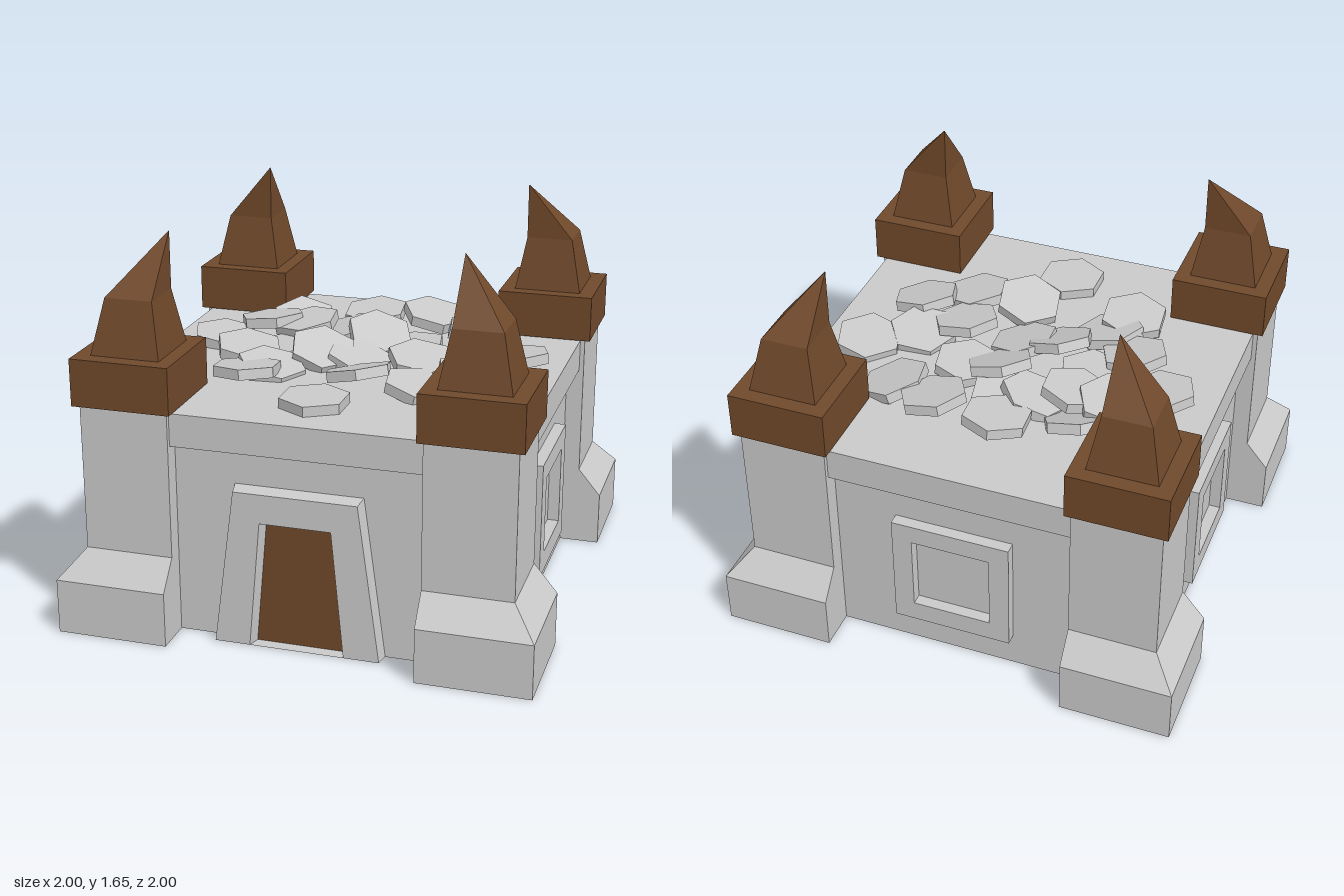
import * as THREE from 'three';

const stone = new THREE.MeshStandardMaterial({ name: 'paleStone', color: 0xcacaca, side: THREE.DoubleSide });
const timber = new THREE.MeshStandardMaterial({ name: 'brownTimber', color: 0x70492b });

// Joins four-cornered loops into a faceted skin, optionally closing the last loop
function loft(loops, capEnd = true) {
  const pos = [];
  const quad = (a, b, c, d) => pos.push(...a, ...b, ...c, ...a, ...c, ...d);
  for (let i = 0; i < loops.length - 1; i++) {
    const p = loops[i], q = loops[i + 1];
    for (let k = 0; k < 4; k++) {
      const n = (k + 1) % 4;
      quad(p[k], p[n], q[n], q[k]);
    }
  }
  if (capEnd) quad(...loops[loops.length - 1]);
  const g = new THREE.BufferGeometry();
  g.setAttribute('position', new THREE.Float32BufferAttribute(pos, 3));
  g.computeVertexNormals();
  return g;
}

// Horizontal rectangle at height y
const rect = (x0, x1, z0, z1, y) => [[x0, y, z1], [x1, y, z1], [x1, y, z0], [x0, y, z0]];

// Square loop in one corner, from inner to outer distance
function cornerRect(sx, sz, inner, outer, y) {
  const [x0, x1] = sx > 0 ? [inner, outer] : [-outer, -inner];
  const [z0, z1] = sz > 0 ? [inner, outer] : [-outer, -inner];
  return rect(x0, x1, z0, z1, y);
}

// Upright trapezoid standing on the ground
const trapezoid = (bottom, top, h, z) => [[-bottom, 0, z], [bottom, 0, z], [top, h, z], [-top, h, z]];

function add(parent, name, geometry, material) {
  const m = new THREE.Mesh(geometry, material);
  m.name = name;
  parent.add(m);
  return m;
}

function cornerTower(sx, sz) {
  const tower = new THREE.Group();
  tower.name = 'cornerTower';
  const stack = (steps) => loft(steps.map(([a, b, y]) => cornerRect(sx, sz, a, b, y)));
  add(tower, 'towerShaft', stack([[0.525, 1, 0], [0.525, 1, 0.235], [0.525, 0.9, 0.355], [0.525, 0.9, 0.98]]), stone);
  const cap = add(tower, 'towerCap', new THREE.BoxGeometry(0.42, 0.2, 0.42), timber);
  cap.position.set(sx * 0.715, 1.08, sz * 0.715);
  add(tower, 'towerHorn', stack([[0.567, 0.86, 1.18], [0.608, 0.81, 1.41], [0.608, 0.609, 1.65]]), timber);
  return tower;
}

// Square raised frame around a blind window
function windowFrame() {
  const s = new THREE.Shape();
  s.moveTo(-0.257, 0.155).lineTo(0.257, 0.155).lineTo(0.257, 0.67).lineTo(-0.257, 0.67).closePath();
  const hole = new THREE.Path();
  hole.moveTo(-0.17, 0.245).lineTo(-0.17, 0.585).lineTo(0.17, 0.585).lineTo(0.17, 0.245).closePath();
  s.holes.push(hole);
  return new THREE.ExtrudeGeometry(s, { depth: 0.05, bevelEnabled: false });
}

export function createModel() {
  const model = new THREE.Group();
  model.name = 'fort';

  // Walls with an overhanging top band, open underneath
  add(model, 'walls', loft([
    rect(-0.825, 0.825, -0.825, 0.825, 0),
    rect(-0.825, 0.825, -0.825, 0.825, 0.835),
    rect(-0.88, 0.88, -0.88, 0.88, 0.835),
    rect(-0.88, 0.88, -0.88, 0.88, 0.975),
  ]), stone);

  for (const sx of [-1, 1]) for (const sz of [-1, 1]) model.add(cornerTower(sx, sz));

  // Blind windows on the right, back and left walls
  for (let i = 1; i <= 3; i++) {
    const side = new THREE.Group();
    side.name = 'windowSide';
    side.rotation.y = i * Math.PI / 2;
    add(side, 'windowFrame', windowFrame(), stone).position.z = 0.825;
    model.add(side);
  }

  // Doorway: tapering surround and recessed door
  add(model, 'doorFrame', loft([
    trapezoid(0.36, 0.27, 0.685, 0.825),
    trapezoid(0.35, 0.26, 0.672, 0.885),
    trapezoid(0.2, 0.15, 0.547, 0.885),
    trapezoid(0.185, 0.138, 0.525, 0.83),
  ], false), stone);
  add(model, 'door', loft([trapezoid(0.19, 0.143, 0.53, 0.826), trapezoid(0.19, 0.143, 0.53, 0.831)]), timber);

  // Loose six-sided slabs on the roof: x, z, height, lean to x, lean to z, spin
  const slabs = [
    [-0.065, -0.5, 1.03, -0.05, 0.12, 0.1], [0.22, -0.48, 1.05, 0.2, 0.1, 0.5],
    [0.44, -0.38, 1.0, 0.3, 0, 0.2], [0.67, -0.14, 1.0, -0.1, -0.08, 0.3],
    [-0.64, -0.07, 1.0, 0.1, 0.05, 0.35], [-0.37, -0.38, 1.0, 0.2, 0.4, 0.4],
    [-0.48, -0.25, 1.04, -0.12, -0.1, 0.45], [-0.31, -0.23, 1.04, -0.15, 0.1, 0.1],
    [-0.15, -0.28, 1.0, -0.3, 0.1, 0.7], [0.05, -0.16, 1.04, 0.25, 0.3, 0.4],
    [0.2, -0.16, 1.0, -0.1, 0, 0.2], [0.47, -0.01, 1.0, -0.1, -0.15, 0.6],
    [-0.32, -0.03, 0.99, -0.05, 0, 0.3], [-0.46, 0.12, 1.02, 0.15, 0.1, 0.4],
    [-0.13, 0.1, 1.03, 0.25, 0.3, 0.25], [0.03, 0.08, 1.0, 0.25, 0.1, 0.1],
    [0.31, 0.1, 1.03, 0.15, 0.15, 0.5], [0.55, 0.22, 1.02, 0.2, 0.15, 0.3],
    [0.36, 0.36, 1.0, 0.2, 0.05, 0.15], [0.1, 0.33, 1.03, -0.2, -0.2, 0.2],
    [-0.37, 0.39, 1.02, -0.05, -0.12, 0.1], [-0.3, 0.28, 1.0, 0.2, 0.1, 0.6],
    [0, 0.62, 0.995, 0, 0, 0], [-0.03, -0.33, 1.0, -0.15, -0.05, 0.2],
  ];
  const slab = new THREE.CylinderGeometry(0.148, 0.148, 0.045, 6).toNonIndexed();
  slab.computeVertexNormals();
  const rubble = new THREE.Group();
  rubble.name = 'roofRubble';
  for (const [x, z, y, leanX, leanZ, spin] of slabs) {
    const m = add(rubble, 'stoneSlab', slab, stone);
    m.position.set(x, y, z);
    m.rotation.set(leanZ, spin, -leanX, 'XZY');
  }
  model.add(rubble);
  return model;
}
